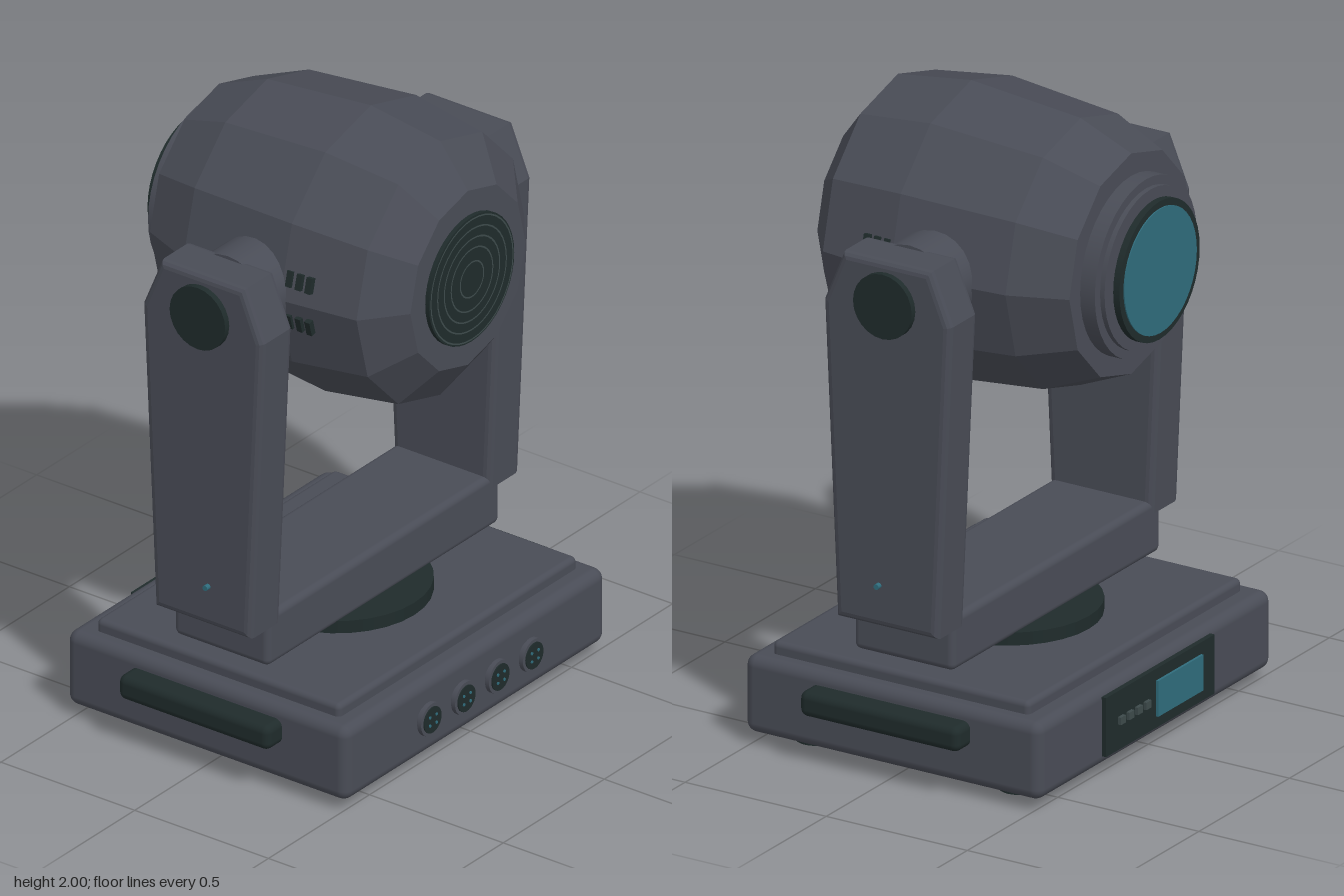
import * as THREE from 'three';
import { RoundedBoxGeometry } from 'three/addons/geometries/RoundedBoxGeometry.js';

const paint = (name, color) => {
  const m = new THREE.MeshStandardMaterial({ color });
  m.name = name;
  return m;
};

export function createModel() {
  const root = new THREE.Group();
  root.name = 'movingHeadLight';
  const body = paint('charcoalBody', 0x494c56);
  const dark = paint('darkTrim', 0x1f2b2b);
  const teal = paint('tealGlass', 0x2f6c7c);
  const grey = paint('greyGrille', 0x3d4a4b);

  const add = (parent, name, geo, mat, x = 0, y = 0, z = 0) => {
    const m = new THREE.Mesh(geo, mat);
    m.name = name;
    m.position.set(x, y, z);
    parent.add(m);
    return m;
  };
  const group = (name, x = 0, y = 0, z = 0) => {
    const g = new THREE.Group();
    g.name = name;
    g.position.set(x, y, z);
    root.add(g);
    return g;
  };
  const rbox = (w, h, d, r) => new RoundedBoxGeometry(w, h, d, 3, r);
  const box = (w, h, d) => new THREE.BoxGeometry(w, h, d);
  // Cylinders lying along each axis
  const cylY = (r, h, n = 24) => new THREE.CylinderGeometry(r, r, h, n);
  const cylX = (r, h, n = 24) => cylY(r, h, n).rotateZ(Math.PI / 2);
  const cylZ = (r, h, n = 32) => cylY(r, h, n).rotateX(Math.PI / 2);

  // Base with raised top plate, feet and side handles
  const base = group('base');
  add(base, 'baseHousing', rbox(1.29, 0.25, 1.05, 0.035), body, 0, 0.16, -0.003);
  add(base, 'topPlate', rbox(1.18, 0.08, 0.91, 0.018), body, 0, 0.285, 0);
  for (const sx of [-1, 1]) {
    add(base, 'handle', rbox(0.1, 0.082, 0.565, 0.025), dark, sx * 0.665, 0.203, 0);
    for (const sz of [-1, 1]) {
      add(base, 'foot', cylY(0.062, 0.045), dark, sx * 0.495, 0.0225, sz * 0.36);
    }
  }

  // Round sockets on the front of the base
  for (let i = 0; i < 4; i++) {
    const s = group('socket', -0.252 + i * 0.168, 0.163, 0.52);
    add(s, 'socketNeck', cylZ(0.042, 0.02), body, 0, 0, 0.005);
    add(s, 'socketFlange', cylZ(0.054, 0.015), body, 0, 0, 0.019);
    add(s, 'socketFace', cylZ(0.043, 0.006), dark, 0, 0, 0.027);
    for (const [px, py] of [[-1, 1], [1, 1], [-1, -1], [1, -1]]) {
      add(s, 'socketPin', cylZ(0.005, 0.004, 8), teal, px * 0.016, py * 0.014, 0.031);
    }
  }

  // Control panel on the back of the base
  const panel = group('controlPanel', 0, 0.165, -0.528);
  add(panel, 'panelPlate', box(0.6, 0.19, 0.03), dark);
  add(panel, 'displayScreen', box(0.25, 0.115, 0.009), teal, -0.1, 0, -0.019);
  for (let i = 0; i < 4; i++) {
    add(panel, 'panelButton', box(0.028, 0.024, 0.012), grey, 0.08 + i * 0.047, 0, -0.02);
  }

  // Turntable and yoke
  add(root, 'turntable', cylY(0.29, 0.045, 32), dark, 0, 0.344, 0);
  const yoke = group('yoke');
  add(yoke, 'crossbar', rbox(1.15, 0.175, 0.355, 0.022), body, 0, 0.443, 0);

  // Tapered arm outline, inset by the bevel that rounds its edges
  const b = 0.022;
  const outline = [[0.18 - b, 0.49 + b], [0.225 - b, 1.5], [0.152 - b * 0.5, 1.67 - b]];
  const arm = new THREE.Shape(
    [...outline, ...outline.map(([z, y]) => [-z, y]).reverse()].map(p => new THREE.Vector2(...p)));
  const armGeo = new THREE.ExtrudeGeometry(arm, {
    depth: 0.157 - 2 * b, bevelEnabled: true, bevelThickness: b, bevelSize: b, bevelSegments: 3,
  }).translate(0, 0, b - 0.0785).rotateY(Math.PI / 2);

  const HY = 1.534; // tilt axis height
  for (const s of [-1, 1]) {
    add(yoke, 'arm', armGeo, body, s * 0.591, 0, 0);
    add(yoke, 'tiltAxle', cylX(0.147, 0.2), body, s * 0.44, HY, 0);
    add(yoke, 'tiltCap', cylX(0.104, 0.03), dark, s * 0.675, HY, 0);
    add(yoke, 'indicatorLight', cylX(0.009, 0.02, 12), teal, s * 0.676, 0.625, 0.025);
  }

  // Faceted twelve-sided lamp head
  const head = group('head', 0, HY, 0);
  const profile = [[0, -0.44], [0.355, -0.44], [0.43, -0.26], [0.467, 0.127],
    [0.43, 0.387], [0.295, 0.49], [0, 0.49]].map(p => new THREE.Vector2(...p));
  const shell = new THREE.LatheGeometry(profile, 12)
    .rotateX(Math.PI / 2).scale(0.965, 1, 1).toNonIndexed();
  shell.computeVertexNormals();
  add(head, 'headShell', shell, body);

  // Front fan grille with concentric rings
  add(head, 'fanGrille', cylZ(0.211, 0.02, 40), dark, 0, 0, 0.494);
  for (const r of [0.058, 0.103, 0.137, 0.17, 0.203]) {
    add(head, 'grilleRing', new THREE.RingGeometry(r - 0.0025, r + 0.0025, 40), grey, 0, 0, 0.5055);
  }

  // Stepped collar and lens at the back
  add(head, 'lensCollar', cylZ(0.283, 0.06, 40), body, 0, 0, -0.462);
  add(head, 'lensStep', cylZ(0.254, 0.02, 40), body, 0, 0, -0.498);
  add(head, 'lensMount', cylZ(0.19, 0.03, 40), dark, 0, 0, -0.51);
  add(head, 'lensRim', cylZ(0.222, 0.022, 40), dark, 0, 0, -0.529);
  add(head, 'lens', cylZ(0.2, 0.006, 40), teal, 0, 0, -0.541);

  // Cooling slots on both sides of the head
  for (const sx of [-1, 1]) {
    for (const sy of [-1, 1]) {
      for (const z of [0.15, 0.186, 0.222]) {
        const slot = add(head, 'coolingSlot', box(0.024, 0.05, 0.02), dark,
          sx * 0.425, sy * 0.07, z);
        slot.rotation.z = sx * sy * 0.26;
      }
    }
  }
  return root;
}
